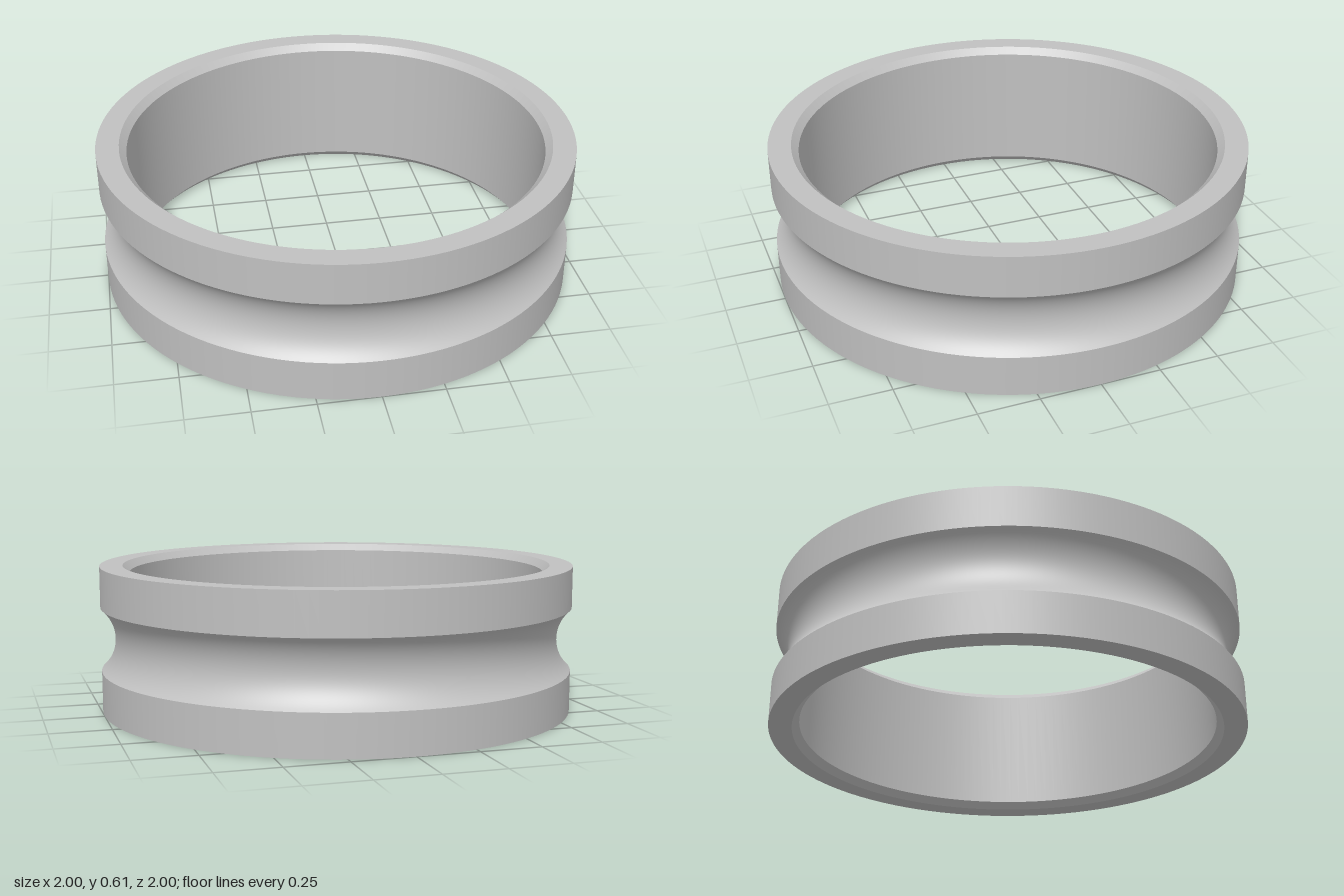
import * as THREE from 'three';

const SEGMENTS = 128;
const HEIGHT = 0.612;
const OUTER = 1;
const BORE = 0.875;
const CHAMFER = 0.029;
const GROOVE_HALF = 0.134; // half the width of the groove
const GROOVE_DEPTH = 0.06;

// Circular arc of the groove, from its lower edge to its upper edge
function groovePoints(steps) {
  const radius = (GROOVE_HALF ** 2 + GROOVE_DEPTH ** 2) / (2 * GROOVE_DEPTH);
  const centre = OUTER - GROOVE_DEPTH + radius;
  const sweep = Math.asin(GROOVE_HALF / radius);
  const points = [];
  for (let i = 0; i <= steps; i++) {
    const a = sweep * (2 * i / steps - 1);
    points.push([centre - radius * Math.cos(a), HEIGHT / 2 + radius * Math.sin(a)]);
  }
  return points;
}

export function createModel() {
  const group = new THREE.Group();
  group.name = 'groovedRing';
  const steel = new THREE.MeshStandardMaterial({ color: 0xc0c0c0 });
  steel.name = 'steel grey';

  // Each band is its own lathe, so edges between bands stay sharp
  const addBand = (name, points) => {
    const profile = points.map(([r, y]) => new THREE.Vector2(r, y));
    const mesh = new THREE.Mesh(new THREE.LatheGeometry(profile, SEGMENTS), steel);
    mesh.name = name;
    group.add(mesh);
  };

  const low = HEIGHT / 2 - GROOVE_HALF;
  const high = HEIGHT / 2 + GROOVE_HALF;
  const rim = BORE + CHAMFER;

  // Outside, from bottom to top
  addBand('lowerShoulder', [[OUTER, 0], [OUTER, low]]);
  addBand('groove', groovePoints(24));
  addBand('upperShoulder', [[OUTER, high], [OUTER, HEIGHT]]);

  // Over the top, down the bore and back along the bottom
  addBand('topFace', [[OUTER, HEIGHT], [rim, HEIGHT]]);
  addBand('upperChamfer', [[rim, HEIGHT], [BORE, HEIGHT - CHAMFER]]);
  addBand('bore', [[BORE, HEIGHT - CHAMFER], [BORE, CHAMFER]]);
  addBand('lowerChamfer', [[BORE, CHAMFER], [rim, 0]]);
  addBand('bottomFace', [[rim, 0], [OUTER, 0]]);

  return group;
}
